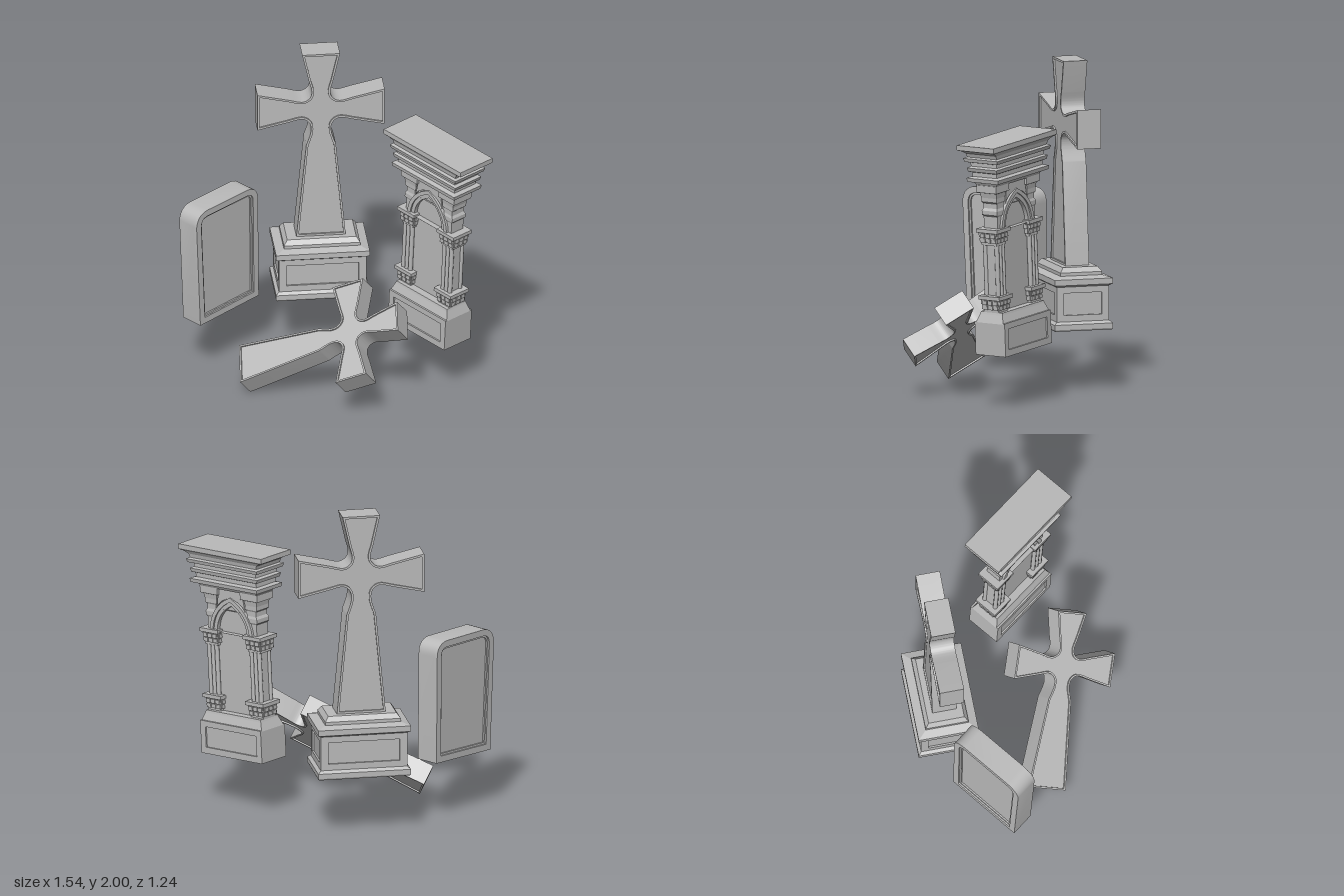
import * as THREE from 'three';
import { toCreasedNormals } from 'three/addons/utils/BufferGeometryUtils.js';

const stone = new THREE.MeshStandardMaterial({ color: 0xbababa });
stone.name = 'stone';

function add(parent, name, geometry, x = 0, y = 0, z = 0) {
  const mesh = new THREE.Mesh(geometry, stone);
  mesh.name = name;
  mesh.position.set(x, y, z);
  parent.add(mesh);
  return mesh;
}

function group(parent, name) {
  const g = new THREE.Group();
  g.name = name;
  parent.add(g);
  return g;
}

// Stacked rectangular rings [halfX, halfZ, y], closed at both ends
function loft(rings) {
  const pos = [];
  const ring = ([x, z, y]) => [[-x, y, z], [x, y, z], [x, y, -z], [-x, y, -z]];
  const quad = (a, b, c, d) => pos.push(...a, ...b, ...c, ...a, ...c, ...d);
  for (let i = 0; i < rings.length - 1; i++) {
    const lo = ring(rings[i]), hi = ring(rings[i + 1]);
    for (let k = 0; k < 4; k++) {
      const n = (k + 1) % 4;
      quad(lo[k], lo[n], hi[n], hi[k]);
    }
  }
  quad(...ring(rings[rings.length - 1]));
  quad(...ring(rings[0]).reverse());
  const g = new THREE.BufferGeometry();
  g.setAttribute('position', new THREE.Float32BufferAttribute(pos, 3));
  g.computeVertexNormals();
  return g;
}

function outline(shape) {
  const pts = shape.getPoints(8);
  return pts.filter((p, i) => p.distanceTo(pts[(i + 1) % pts.length]) > 1e-4);
}

// Move a counter-clockwise outline inwards by d
function inset(pts, d) {
  const normal = (a, b) => new THREE.Vector2(a.y - b.y, b.x - a.x).normalize();
  return pts.map((p, i) => {
    const n1 = normal(pts[(i + pts.length - 1) % pts.length], p);
    const n2 = normal(p, pts[(i + 1) % pts.length]);
    return n1.clone().add(n2).multiplyScalar(d / (1 + n1.dot(n2))).add(p);
  });
}

// Extrusion centred on z = 0
function extrude(pts, depth, holePts) {
  const shape = new THREE.Shape(pts);
  if (holePts) shape.holes.push(new THREE.Path(holePts));
  const g = new THREE.ExtrudeGeometry(shape, { depth, bevelEnabled: false });
  g.translate(0, 0, -depth / 2);
  return toCreasedNormals(g, 0.6);
}

const rect = (hx, y0, y1) => [[-hx, y0], [hx, y0], [hx, y1], [-hx, y1]].map(p => new THREE.Vector2(...p));

// Slab with a raised rim on both faces
function rimmedSlab(parent, name, pts, depth, rims) {
  const recess = Math.max(...rims.map(r => r.recess));
  add(parent, name, extrude(pts, depth - 2 * recess));
  for (const { from, to, top, recess: low } of rims) {
    const h = low - top;
    for (const s of [1, -1])
      add(parent, name + 'Rim', extrude(inset(pts, from), h, inset(pts, to)), 0, 0, s * (depth / 2 - top - h / 2));
  }
}

// Flared cross, origin at the crossing
function cross(parent, name) {
  const g = group(parent, name);
  const v = (x, y) => new THREE.Vector2(x, y);
  const s = new THREE.Shape();
  s.moveTo(-0.15, -0.865);
  s.lineTo(0.15, -0.865);
  s.lineTo(0.09, -0.24);
  s.splineThru([v(0.062, -0.15), v(0.07, -0.09), v(0.115, -0.06), v(0.19, -0.075)]);
  s.lineTo(0.387, -0.12);
  s.lineTo(0.387, 0.12);
  s.lineTo(0.19, 0.075);
  s.splineThru([v(0.115, 0.058), v(0.07, 0.08), v(0.056, 0.125), v(0.072, 0.19)]);
  s.lineTo(0.115, 0.38);
  s.lineTo(-0.115, 0.38);
  s.lineTo(-0.072, 0.19);
  s.splineThru([v(-0.056, 0.125), v(-0.07, 0.08), v(-0.115, 0.058), v(-0.19, 0.075)]);
  s.lineTo(-0.387, 0.12);
  s.lineTo(-0.387, -0.12);
  s.lineTo(-0.19, -0.075);
  s.splineThru([v(-0.115, -0.06), v(-0.07, -0.09), v(-0.062, -0.15), v(-0.09, -0.24)]);
  rimmedSlab(g, 'crossBody', outline(s), 0.15, [{ from: 0, to: 0.013, top: 0, recess: 0.01 }]);
  return g;
}

function standingCross(parent) {
  const g = group(parent, 'standingCross');
  g.position.set(-0.448, 0, -0.27);
  g.rotation.y = 0.913;
  cross(g, 'uprightCross').position.y = 1.62;
  add(g, 'pedestal', loft([
    [0.28, 0.18, 0.375], [0.285, 0.185, 0.385], [0.285, 0.185, 0.415], [0.255, 0.155, 0.44],
    [0.255, 0.155, 0.635], [0.275, 0.175, 0.65], [0.285, 0.185, 0.655], [0.285, 0.185, 0.69],
    [0.232, 0.132, 0.705], [0.232, 0.132, 0.725], [0.21, 0.11, 0.755]]));
  // Panel frames on the four sides of the pedestal
  for (const [hx, off, turn] of [[0.265, 0.16, 0], [0.165, 0.26, 1]])
    for (const s of [1, -1]) {
      const frame = add(g, 'pedestalFrame', extrude(rect(hx, 0.425, 0.645), 0.012, rect(hx - 0.045, 0.47, 0.605)));
      frame.position.set(turn ? s * off : 0, 0, turn ? 0 : s * off);
      frame.rotation.y = turn * Math.PI / 2;
    }
}

function roundedHeadstone(parent) {
  const g = group(parent, 'roundedHeadstone');
  g.position.x = -0.67;
  g.rotation.y = Math.PI / 2;
  const s = new THREE.Shape();
  s.moveTo(-0.59, 0.36);
  s.lineTo(-0.1, 0.385);
  s.lineTo(-0.107, 1.05);
  s.quadraticCurveTo(-0.107, 1.135, -0.19, 1.143);
  s.lineTo(-0.53, 1.133);
  s.quadraticCurveTo(-0.615, 1.125, -0.622, 1.04);
  rimmedSlab(g, 'headstone', outline(s), 0.15, [
    { from: 0, to: 0.04, top: 0, recess: 0.02 },
    { from: 0.04, to: 0.052, top: 0.01, recess: 0.02 }]);
}

// Pointed arch outline, counter-clockwise from the lower right
function archPath(half, spring, apex, foot) {
  const s = new THREE.Shape();
  const rise = apex - spring;
  s.moveTo(half, foot);
  s.lineTo(half, spring);
  s.quadraticCurveTo(half * 0.9, spring + rise * 0.68, 0, apex);
  s.quadraticCurveTo(-half * 0.9, spring + rise * 0.68, -half, spring);
  s.lineTo(-half, foot);
  return outline(s);
}

// Flared capital with rows of small carved blocks
function capital(parent, x, y) {
  const g = group(parent, 'capital');
  g.position.set(x, y, 0);
  add(g, 'capitalCore', loft([[0.05, 0.054, 0], [0.05, 0.054, 0.015], [0.06, 0.064, 0.075],
    [0.073, 0.077, 0.08], [0.073, 0.077, 0.103]]));
  for (let row = 0; row < 2; row++)
    for (let i = -1; i <= 1; i++)
      for (const s of [1, -1]) {
        const y0 = 0.03 + row * 0.031, out = 0.055 + row * 0.006;
        add(g, 'carvedBlock', new THREE.BoxGeometry(0.032, 0.025, 0.02), i * 0.038, y0, s * out);
        add(g, 'carvedBlock', new THREE.BoxGeometry(0.02, 0.025, 0.032), s * (out - 0.004), y0, i * 0.038);
      }
}

function archedMonument(parent) {
  const g = group(parent, 'archedMonument');
  g.position.set(0.355, 0.335, -0.415);
  g.rotation.z = -0.06;

  // Foot block with framed panels
  add(g, 'footBlock', loft([[0.245, 0.1, 0], [0.245, 0.1, 0.2], [0.225, 0.082, 0.25], [0.22, 0.078, 0.265]]));
  for (const s of [1, -1])
    add(g, 'footFrame', extrude(rect(0.245, 0, 0.205), 0.012, rect(0.205, 0.04, 0.168)), 0, 0, s * 0.104);

  // Recessed centre slab and the wall around the arch
  add(g, 'centreSlab', new THREE.BoxGeometry(0.32, 0.78, 0.06), 0, 0.64, 0);
  add(g, 'archWall', extrude(rect(0.18, 0.76, 1.06), 0.09, archPath(0.12, 0.78, 0.95, 0.765)));
  add(g, 'outerArch', extrude(archPath(0.172, 0.78, 0.995, 0.765), 0.13, archPath(0.146, 0.78, 0.968, 0.766)));
  add(g, 'innerArch', extrude(archPath(0.147, 0.78, 0.969, 0.765), 0.11, archPath(0.12, 0.78, 0.94, 0.766)));
  for (const s of [1, -1])
    add(g, 'keyPanel', extrude([[-0.115, 0.91], [0.115, 0.91], [0.09, 1.06], [-0.09, 1.06]]
      .map(p => new THREE.Vector2(...p)), 0.012, archPath(0.114, 0.911, 0.99, 0.9105)), 0, 0, s * 0.05);

  for (const s of [1, -1]) {
    const x = s * 0.172;
    // Clustered column between two capitals
    capital(g, x, 0.262);
    capital(g, x, 0.675);
    add(g, 'columnCore', new THREE.BoxGeometry(0.064, 0.33, 0.08), x, 0.52, 0);
    for (const i of [-1, 0, 1])
      for (const k of [-1, 1])
        add(g, 'columnShaft', new THREE.CylinderGeometry(0.014, 0.014, 0.33, 10), x + i * 0.03, 0.52, k * 0.042);
    // Stepped pier under the cornice
    add(g, 'upperPier', loft([[0.035, 0.05, 0.775], [0.035, 0.05, 0.85], [0.045, 0.056, 0.86],
      [0.045, 0.056, 0.885], [0.035, 0.05, 0.9], [0.035, 0.05, 0.93], [0.046, 0.056, 0.94],
      [0.046, 0.056, 0.965], [0.052, 0.06, 0.995], [0.07, 0.072, 1.0], [0.07, 0.072, 1.045]]), s * 0.162, 0, 0);
  }

  // Moulded cornice
  add(g, 'cornice', loft([
    [0.225, 0.07, 1.04], [0.235, 0.082, 1.06], [0.268, 0.112, 1.068], [0.272, 0.116, 1.092],
    [0.245, 0.088, 1.1], [0.245, 0.088, 1.125], [0.265, 0.105, 1.132], [0.272, 0.11, 1.155],
    [0.25, 0.095, 1.163], [0.25, 0.095, 1.185], [0.28, 0.12, 1.193], [0.285, 0.126, 1.215],
    [0.268, 0.108, 1.222], [0.275, 0.112, 1.245], [0.305, 0.122, 1.262], [0.32, 0.13, 1.267],
    [0.335, 0.135, 1.272], [0.335, 0.135, 1.303]]));
}

export function createModel() {
  const model = new THREE.Group();
  model.name = 'graveyardStones';
  standingCross(model);
  roundedHeadstone(model);
  archedMonument(model);
  // Toppled cross leaning back on the other stones
  const fallen = cross(model, 'fallenCross');
  fallen.scale.setScalar(0.87);
  fallen.position.set(0.232, 0.431, 0.095);
  fallen.rotation.set(-0.856, 0, -0.873);
  return model;
}
